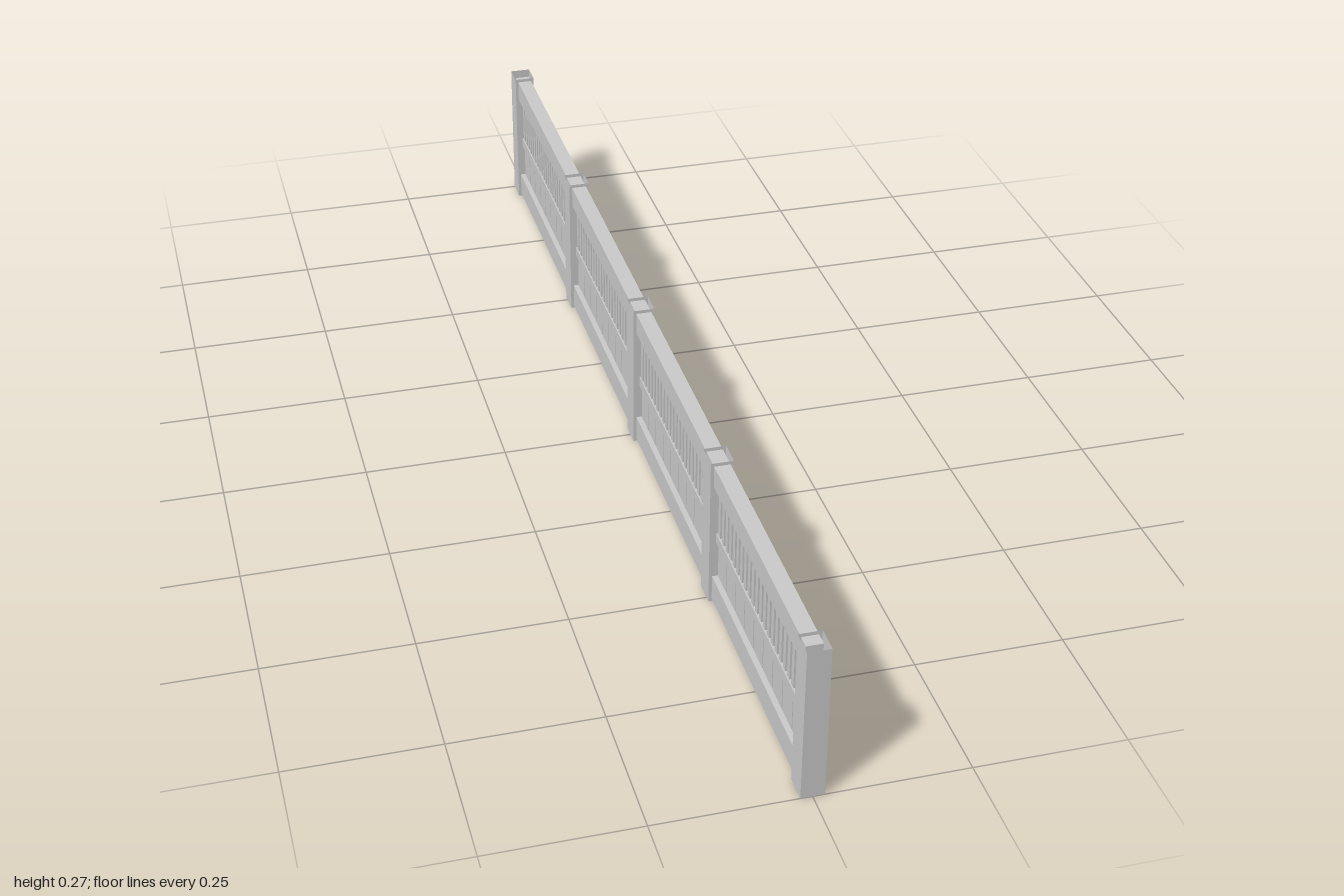
import * as THREE from 'three';

export function createModel() {
  const model = new THREE.Group();
  model.name = 'fence';
  const solid = new THREE.MeshStandardMaterial({ color: 0xcccccc, flatShading: true });
  const open = new THREE.MeshStandardMaterial({ color: 0xcccccc, flatShading: true, side: THREE.DoubleSide });

  const HEIGHT = 0.27, POST_X = 0.038, POST_Z = 0.044, BAYS = 4;
  const END = 1 - POST_Z / 2;           // centre of the end posts
  const STEP = (2 * END) / BAYS;        // post spacing
  const CLEAR = STEP - POST_Z;          // opening between posts

  // box placed by its bottom and top heights
  function box(parent, name, width, y0, y1, length, z) {
    const mesh = new THREE.Mesh(new THREE.BoxGeometry(width, y1 - y0, length), solid);
    mesh.position.set(0, (y0 + y1) / 2, z);
    mesh.name = name;
    parent.add(mesh);
  }

  // hollow square posts, open at both ends
  const postGeometry = new THREE.CylinderGeometry(Math.SQRT1_2, Math.SQRT1_2, HEIGHT, 4, 1, true);
  postGeometry.rotateY(Math.PI / 4);
  postGeometry.scale(POST_X, 1, POST_Z);
  for (let i = 0; i <= BAYS; i++) {
    const post = new THREE.Mesh(postGeometry, open);
    post.name = 'post';
    post.position.set(0, HEIGHT / 2, -END + i * STEP);
    model.add(post);
  }

  // long rails ending at the centres of the end posts
  box(model, 'bottomRail', 0.027, 0.005, 0.05, 2 * END, 0);
  box(model, 'topRail', 0.027, 0.225, 0.264, 2 * END, 0);

  // infill of each bay: backing, middle rail, narrow bars above, boards below
  const BARS = 22, BOARDS = 9;
  for (let i = 0; i < BAYS; i++) {
    const bay = new THREE.Group();
    bay.name = 'bay';
    bay.position.z = -END + (i + 0.5) * STEP;
    model.add(bay);
    box(bay, 'backing', 0.004, 0.05, 0.225, CLEAR, 0);
    box(bay, 'middleRail', 0.016, 0.116, 0.134, CLEAR, 0);
    for (let k = 0; k < BARS; k++) {
      const pitch = CLEAR / BARS;
      box(bay, 'bar', 0.012, 0.134, 0.225, pitch * 0.55, (k + 0.5) * pitch - CLEAR / 2);
    }
    for (let k = 0; k < BOARDS; k++) {
      const pitch = CLEAR / BOARDS;
      box(bay, 'board', 0.008, 0.05, 0.116, pitch * 0.94, (k + 0.5) * pitch - CLEAR / 2);
    }
  }
  return model;
}
